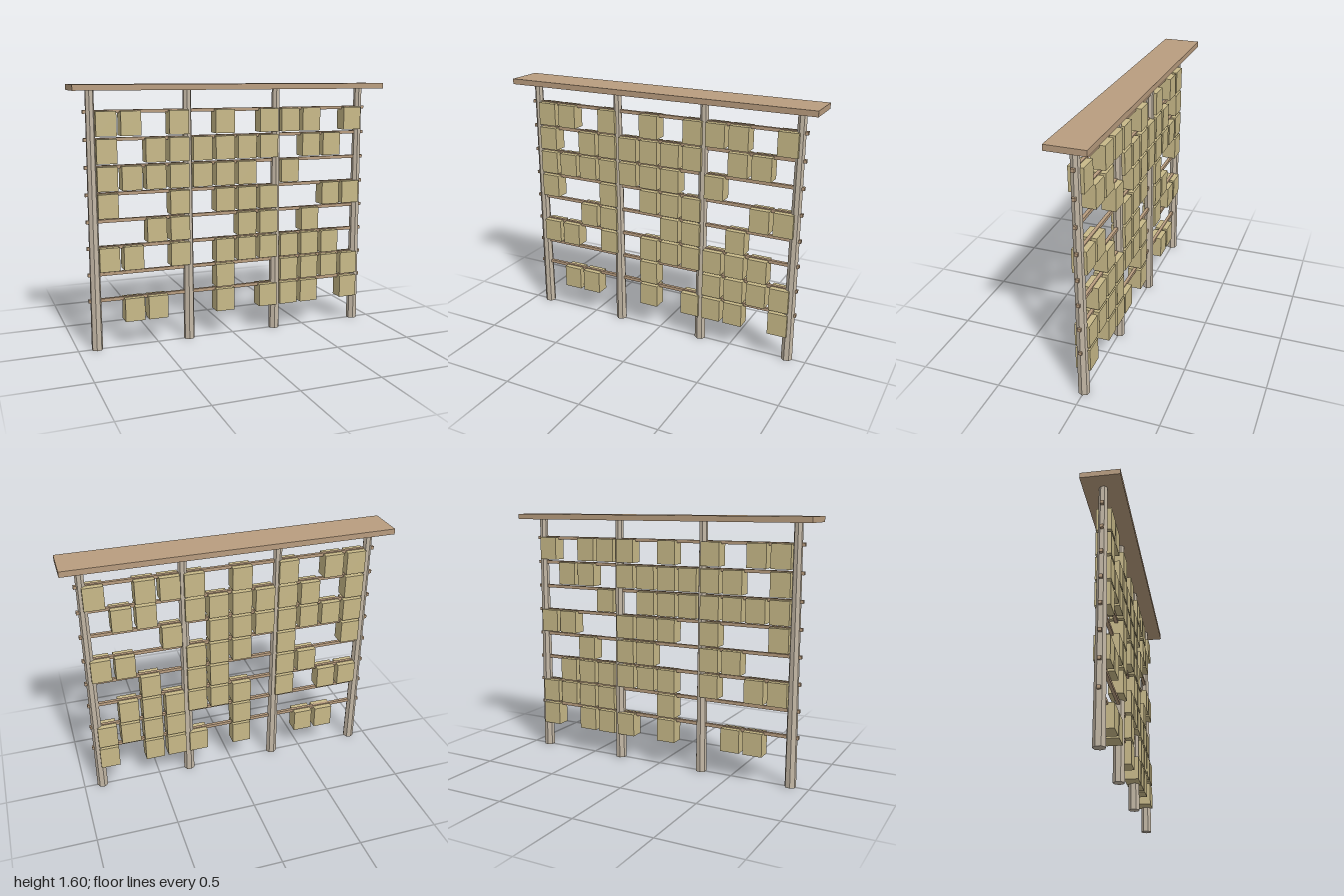
import * as THREE from 'three';

export function createModel() {
  const model = new THREE.Group();
  model.name = 'plaqueRack';

  const material = (name, color, flatShading = false) => {
    const m = new THREE.MeshStandardMaterial({ color, flatShading });
    m.name = name;
    return m;
  };
  const plankWood = material('plank wood', 0xb99d7f);
  const postWood = material('weathered post wood', 0xc4b8a6, true);
  const plaqueWood = material('pale plaque wood', 0xc8b988);

  const add = (parent, name, geometry, mat, x, y, z = 0) => {
    const mesh = new THREE.Mesh(geometry, mat);
    mesh.name = name;
    mesh.position.set(x, y, z);
    parent.add(mesh);
    return mesh;
  };

  // Flat plank roof
  add(model, 'roof', new THREE.BoxGeometry(2, 0.034, 0.234), plankWood, 0, 1.58, 0);

  // Tapered seven-sided posts
  const posts = new THREE.Group();
  posts.name = 'posts';
  const postGeometry = new THREE.CylinderGeometry(0.026, 0.035, 1.565, 7).rotateY(Math.PI / 2);
  for (let i = 0; i < 4; i++) {
    add(posts, 'post', postGeometry, postWood, -0.885 + i * 0.589, 0.7825);
  }
  model.add(posts);

  // Rails with the columns that carry a hanging plaque, top row first
  const rows = [
    'XX.X.X.XXX.X',
    'X.XXXXXX.XX.',
    'XXXXXXX.X...',
    'X..X.XXX..XX',
    '..XX..XX.X..',
    'XX.X.XXXXXX.',
    '.....X..XXXX',
    '.XX..X.XXX.X',
  ];
  // Columns marked X hold one plaque each
  const railGeometry = new THREE.BoxGeometry(1.852, 0.02, 0.02);
  const plaqueGeometry = new THREE.BoxGeometry(0.122, 0.145, 0.09);
  rows.forEach((pattern, r) => {
    const row = new THREE.Group();
    row.name = 'plaqueRow';
    const y = 1.44 - r * 0.1618;
    add(row, 'rail', railGeometry, plankWood, -0.003, y);
    [...pattern].forEach((mark, c) => {
      if (mark === 'X') add(row, 'plaque', plaqueGeometry, plaqueWood, -0.8 + c * 0.1473, y - 0.069);
    });
    model.add(row);
  });

  return model;
}
